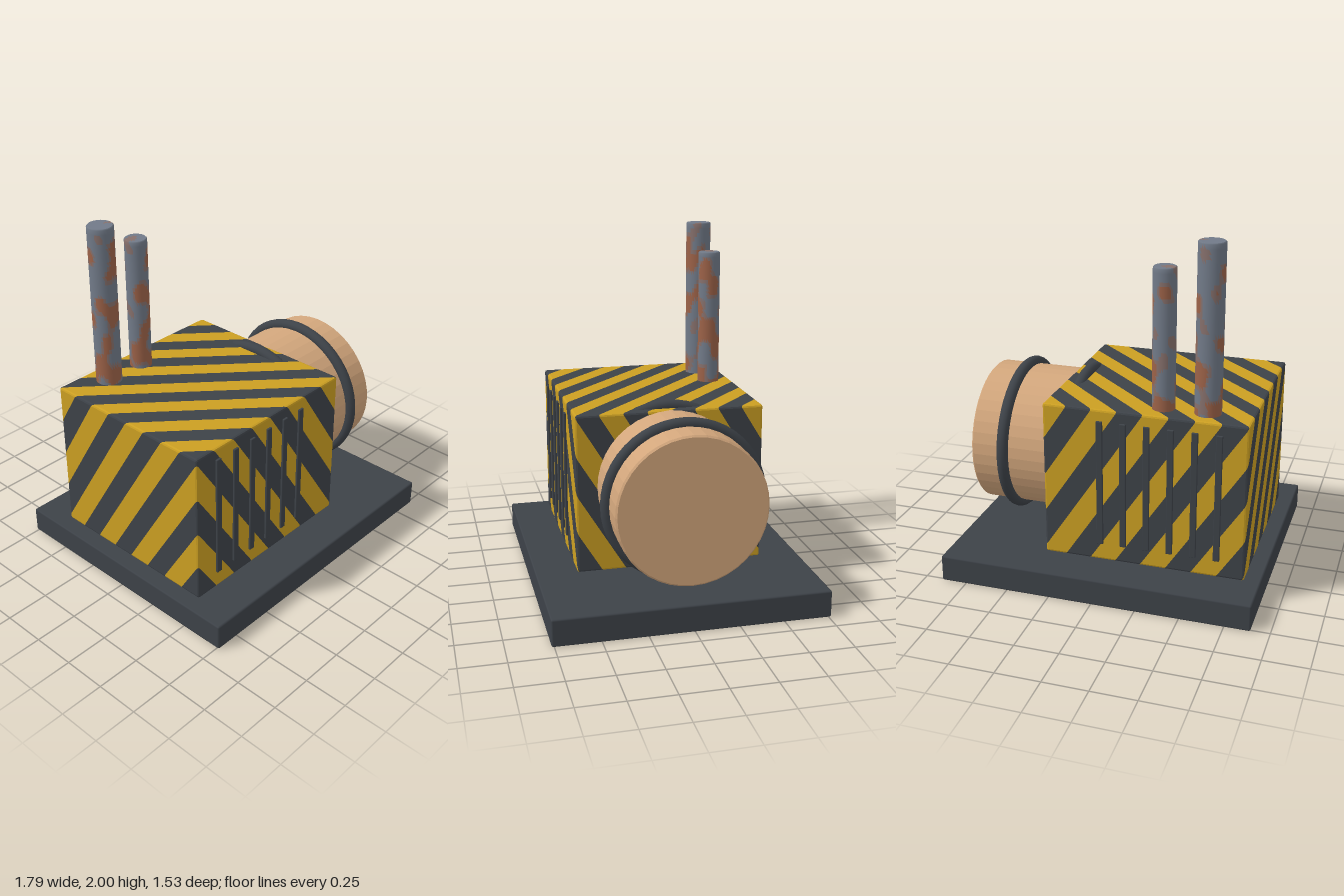
import * as THREE from 'three';
import { RoundedBoxGeometry } from 'three/addons/geometries/RoundedBoxGeometry.js';

const material = (name, color, extra = {}) => {
  const m = new THREE.MeshStandardMaterial({ color, ...extra });
  m.name = name;
  return m;
};

// Warning stripe phase: whole bands run diagonally through the solid block
const stripePhase = p => (p.x + 0.604) / 0.29 + (p.y - 1.065) / 0.44 - (p.z - 0.535) / 0.27;

// Keep the part of a polygon where sign * (phase - limit) >= 0
function clip(poly, limit, sign) {
  const out = [];
  poly.forEach((a, i) => {
    const b = poly[(i + 1) % poly.length];
    const da = sign * (stripePhase(a) - limit);
    const db = sign * (stripePhase(b) - limit);
    if (da >= 0) out.push(a);
    if (da * db < 0) out.push(a.clone().lerp(b, da / (da - db)));
  });
  return out;
}

// Cut a geometry's surface into alternating bands, returned as two geometries
function splitStripes(geometry) {
  const src = geometry.index ? geometry.toNonIndexed() : geometry;
  const pos = src.attributes.position;
  const bands = [[], []];
  for (let i = 0; i < pos.count; i += 3) {
    const tri = [0, 1, 2].map(k => new THREE.Vector3().fromBufferAttribute(pos, i + k));
    const phases = tri.map(stripePhase);
    const first = Math.floor((Math.min(...phases) + 0.25) * 2);
    const last = Math.floor((Math.max(...phases) + 0.25) * 2);
    for (let n = first; n <= last; n++) {
      const poly = clip(clip(tri, n / 2 - 0.25, 1), n / 2 + 0.25, -1);
      for (let k = 1; k < poly.length - 1; k++) {
        for (const p of [poly[0], poly[k], poly[k + 1]]) bands[Math.abs(n % 2)].push(p.x, p.y, p.z);
      }
    }
  }
  return bands.map(list => {
    const g = new THREE.BufferGeometry();
    g.setAttribute('position', new THREE.Float32BufferAttribute(list, 3));
    g.computeVertexNormals();
    return g;
  });
}

// Smooth patchy pattern, rustier towards the foot of the pipes
function rustLevel(x, y, z) {
  return Math.sin(x * 23 + y * 7 + 1) * Math.sin(y * 11 - z * 21)
    + 0.5 * Math.sin(x * 41 - y * 19 + z * 33) + 0.5 * Math.cos(y * 31 + z * 47)
    + 0.6 * (1.45 - y);
}

// Pipe whose triangles are sorted into steel, stained and rusty groups
function rustyPipe(x, z, radius, bottom, top) {
  const h = top - bottom, c = 0.006;
  const profile = [new THREE.Vector2(0, 0), new THREE.Vector2(radius, 0), new THREE.Vector2(radius, 0)];
  for (let i = 1; i <= 40; i++) profile.push(new THREE.Vector2(radius, (h - c) * i / 40));
  profile.push(new THREE.Vector2(radius - c, h), new THREE.Vector2(radius - c, h));
  for (const t of [0.66, 0.33, 0]) profile.push(new THREE.Vector2(radius * t, h));
  const g = new THREE.LatheGeometry(profile, 32).translate(x, bottom, z).toNonIndexed();
  const pos = g.attributes.position;
  const sorted = [[], [], []];
  for (let i = 0; i < pos.count; i += 3) {
    const mid = axis => (pos[axis](i) + pos[axis](i + 1) + pos[axis](i + 2)) / 3;
    const r = rustLevel(mid('getX'), mid('getY'), mid('getZ'));
    sorted[r < 0.05 ? 0 : r < 0.5 ? 1 : 2].push(i, i + 1, i + 2);
  }
  g.setIndex(sorted.flat());
  let start = 0;
  sorted.forEach((list, k) => {
    g.addGroup(start, list.length, k);
    start += list.length;
  });
  return g;
}

export function createModel() {
  const group = new THREE.Group();
  const dark = material('darkMetal', 0x3d4248);
  const yellow = material('warningYellow', 0xcb9f22);
  const tan = material('tanDrum', 0xd2a67c, { flatShading: true });
  const pipeColours = [material('steel', 0x717a88), material('stainedSteel', 0x86706c), material('rust', 0x9c6248)];

  const add = (name, geometry, mat) => {
    const mesh = new THREE.Mesh(geometry, mat);
    mesh.name = name;
    group.add(mesh);
    return mesh;
  };

  // Base slab
  add('base', new RoundedBoxGeometry(1.79, 0.153, 1.53, 1, 0.01).translate(0, 0.0765, 0), dark);

  // Housing with diagonal warning stripes
  const housing = new RoundedBoxGeometry(1.15, 0.907, 1.068, 1, 0.012).translate(-0.231, 0.6115, 0);
  const [yellowBands, darkBands] = splitStripes(housing);
  add('housingYellowStripes', yellowBands, yellow);
  add('housingDarkStripes', darkBands, dark);

  // Vertical vent slats, front and back
  for (let i = 0; i < 6; i++) {
    for (const side of [1, -1]) {
      add('ventSlat', new RoundedBoxGeometry(0.036, 0.74, 0.04, 1, 0.004)
        .translate(-0.649 + i * 0.133, 0.63, side * 0.526), dark);
    }
  }

  // Drum lying along x, with small chamfers at both ends
  const drumProfile = [[0, 0.06], [0.405, 0.06], [0.415, 0.07], [0.415, 0.83], [0.405, 0.84], [0, 0.84]];
  const drum = new THREE.LatheGeometry(drumProfile.map(p => new THREE.Vector2(...p)), 40);
  add('drum', drum.rotateZ(-Math.PI / 2).translate(0, 0.65, 0), tan);

  // Rings around the drum
  for (const x of [0.263, 0.643]) {
    add('drumRing', new THREE.TorusGeometry(0.425, 0.033, 14, 48).rotateY(Math.PI / 2).translate(x, 0.65, 0), dark);
  }

  // Exhaust pipes
  add('tallPipe', rustyPipe(-0.552, -0.4, 0.074, 0.95, 2), pipeColours);
  add('shortPipe', rustyPipe(-0.306, -0.4, 0.064, 0.95, 1.85), pipeColours);

  return group;
}
